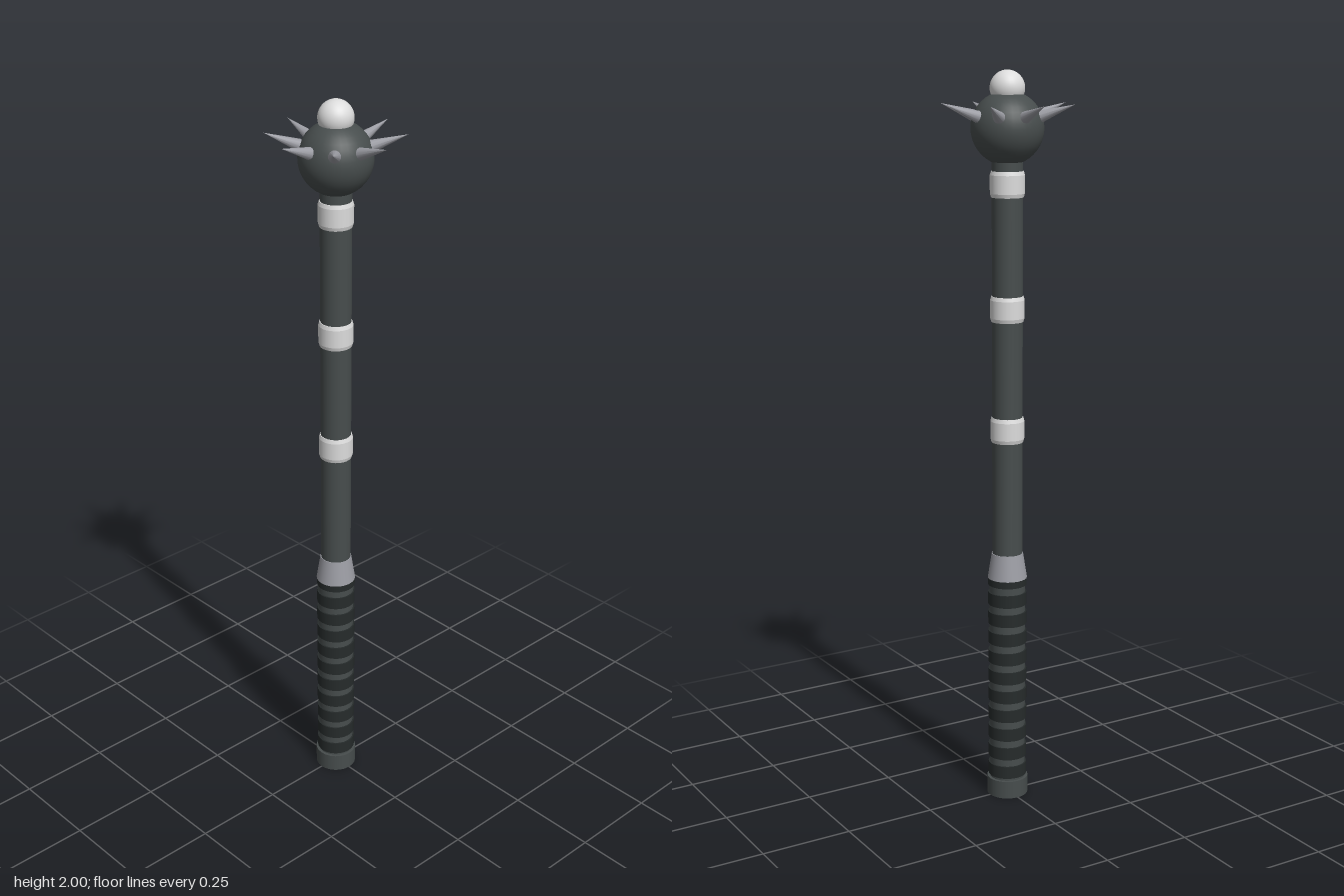
import * as THREE from 'three';

const mat = (name, color) => {
  const m = new THREE.MeshStandardMaterial({ color });
  m.name = name;
  return m;
};

export function createModel() {
  const darkIron = mat('dark iron', 0x474d4d);
  const leather = mat('black leather', 0x262b2b);
  const silver = mat('pale silver', 0xdcdcdc);
  const steel = mat('grey steel', 0x9c9da4);

  const mace = new THREE.Group();
  mace.name = 'spikedMace';

  const add = (name, geometry, material, y = 0, parent = mace) => {
    const mesh = new THREE.Mesh(geometry, material);
    mesh.name = name;
    mesh.position.y = y;
    parent.add(mesh);
    return mesh;
  };
  // Upright cylinder given by its lower and upper height
  const rod = (name, material, y0, y1, rBottom, rTop = rBottom) =>
    add(name, new THREE.CylinderGeometry(rTop, rBottom, y1 - y0, 24), material, (y0 + y1) / 2);

  // Handle
  rod('pommel', darkIron, 0, 0.05, 0.057);
  rod('gripCore', darkIron, 0.05, 0.64, 0.049);
  for (let i = 0; i < 11; i++) {
    const y = 0.075 + i * 0.0558;
    rod('gripWrap', leather, y - 0.0175, Math.min(y + 0.0175, 0.638), 0.053);
  }
  rod('collar', steel, 0.635, 0.705, 0.054, 0.043);

  // Shaft with bevelled bands
  rod('shaft', darkIron, 0.64, 1.78, 0.041);
  const bandProfile = [[0.04, -0.034], [0.043, -0.034], [0.046, -0.024], [0.046, 0.024], [0.043, 0.034], [0.04, 0.034]];
  // Each straight run is its own lathe so the bevel edges stay sharp
  for (const y of [1.052, 1.38, 1.708]) {
    const band = new THREE.Group();
    band.name = 'shaftBand';
    band.position.y = y;
    for (let i = 0; i < bandProfile.length - 1; i++) {
      const run = bandProfile.slice(i, i + 2).map(([r, h]) => new THREE.Vector2(r, h));
      add('bandFace', new THREE.LatheGeometry(run, 24), silver, 0, band);
    }
    mace.add(band);
  }

  // Head and finial
  const headY = 1.852;
  add('head', new THREE.SphereGeometry(0.096, 32, 20), darkIron, headY);
  add('finial', new THREE.SphereGeometry(0.046, 32, 20), silver, 1.954);

  // Ring of eight spikes tilted upward
  const spikeGeometry = new THREE.ConeGeometry(0.018, 0.107, 12);
  const tilt = THREE.MathUtils.degToRad(19);
  const up = new THREE.Vector3(0, 1, 0);
  for (let i = 0; i < 8; i++) {
    const a = (i * Math.PI) / 4;
    const dir = new THREE.Vector3(Math.cos(a) * Math.cos(tilt), Math.sin(tilt), Math.sin(a) * Math.cos(tilt));
    const spike = add('spike', spikeGeometry, steel);
    spike.quaternion.setFromUnitVectors(up, dir);
    spike.position.copy(dir).multiplyScalar(0.136);
    spike.position.y += headY;
  }

  return mace;
}
